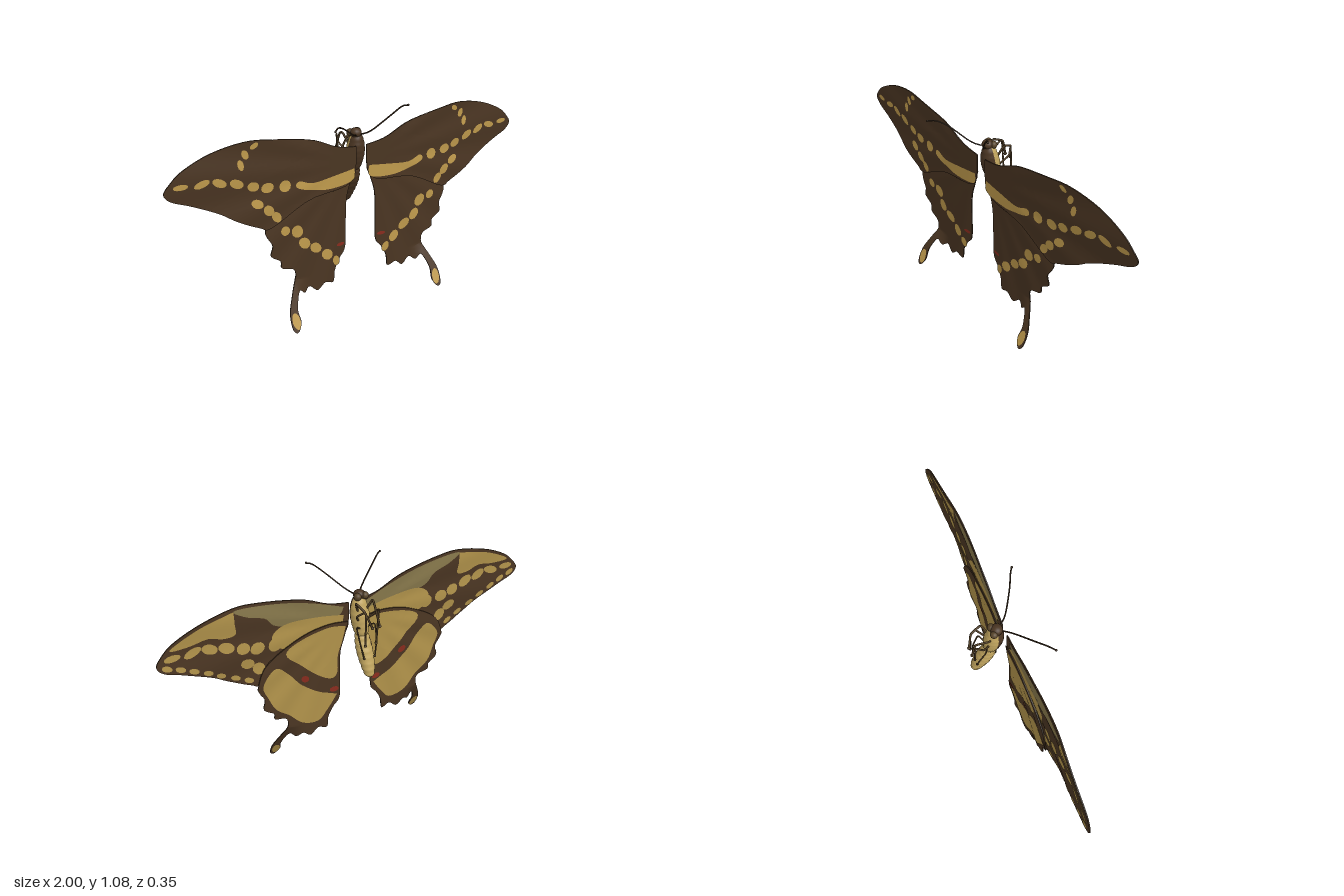
import * as THREE from 'three';
import { mergeVertices } from 'three/addons/utils/BufferGeometryUtils.js';

const mat = (name, color, side = THREE.FrontSide) => {
  const m = new THREE.MeshStandardMaterial({ color, side });
  m.name = name;
  return m;
};
const V = (x, y, z) => new THREE.Vector3(x, y, z);
const smooth = THREE.MathUtils.smoothstep;

// Closed outlines of the model's left wings, mirrored for the right
const FORE = [[.03, .88], [.14, .90], [.28, .96], [.49, 1.0], [.62, 1.01], [.78, .98], [.91, .925], [.97, .875], [1.0, .83],
  [.97, .79], [.89, .755], [.76, .69], [.68, .635], [.57, .575], [.505, .56], [.3, .66], [.06, .70]];
const HIND = [[.04, .78], [.06, .70], [.085, .61], [.09, .46], [.095, .34], [.13, .29], [.16, .23], [.17, .165], [.22, .178],
  [.265, .145], [.31, .18], [.345, .16], [.38, .185], [.413, .11], [.41, .05], [.437, .008], [.462, .025], [.46, .10],
  [.425, .18], [.39, .255], [.40, .305], [.46, .325], [.465, .365], [.515, .405], [.505, .46], [.53, .51], [.535, .555],
  [.48, .66], [.3, .76], [.15, .79]];

// Markings: painted panels, and spots as [x, y, rx, ry, tilt]
const BAND = [[.045, .77], [.15, .757], [.28, .745], [.355, .768], [.37, .74], [.30, .712], [.18, .692], [.05, .71]];
const FORE_SPOTS = [[.43, .76, .03, .03, 0], [.52, .77, .032, .026, 0], [.59, .79, .03, .024, .4], [.67, .82, .036, .022, .5],
  [.75, .84, .036, .02, .5], [.83, .85, .038, .017, -.3], [.925, .853, .034, .014, 0], [.575, .985, .022, .013, -.5],
  [.62, .95, .024, .016, 1.2], [.645, .905, .026, .015, 1.4], [.575, .70, .032, .022, .5], [.52, .655, .032, .024, .9],
  [.48, .612, .032, .022, 1]];
const HIND_SPOTS = [[.435, .525, .026, .024, 1], [.37, .505, .036, .03, 1], [.333, .433, .035, .027, .8],
  [.27, .39, .038, .026, .7], [.205, .335, .034, .028, .8], [.152, .285, .03, .02, 1.2], [.436, .06, .022, .04, -.1]];
const MARGIN_SPOTS = [[.955, .81], [.895, .785], [.835, .755], [.77, .72], [.71, .68], [.64, .64], [.575, .605]]
  .map(([x, y]) => [x, y, .026, .014, .5]);
const COSTA = [[.06, .865], [.28, .945], [.49, .987], [.62, .997], [.56, .95], [.47, .915], [.42, .86], [.3, .83], [.1, .82]];
const APEX = [[.62, .995], [.77, .967], [.89, .92], [.93, .89], [.84, .885], [.75, .895], [.68, .87], [.62, .875], [.62, .93]];
const FORE_BASE = [[.06, .82], [.2, .845], [.36, .855], [.44, .81], [.42, .74], [.3, .70], [.1, .72]];
const HIND_BASE = [[.055, .76], [.075, .68], [.1, .6], [.105, .5], [.14, .47], [.22, .52], [.3, .6], [.38, .69], [.3, .745], [.15, .775]];
const HIND_BAND = [[.11, .365], [.2, .405], [.3, .48], [.37, .57], [.44, .63], [.51, .55], [.485, .46], [.45, .385],
  [.38, .32], [.31, .25], [.22, .225], [.165, .28]];

// Gentle camber, vein ripples and tails swept forward
function wingZ(x, y) {
  const a = Math.abs(x), r = Math.hypot(a - .05, y - .8), th = Math.atan2(y - .8, a - .05);
  return .012 + .05 * a - .073 * a * a - .012 * x
    + .006 * r * smooth(r, .1, .3) * Math.sin(18 * th)
    + .5 * Math.max(0, .24 - y) * smooth(a, .3, .4);
}

function outline(pts) {
  const p = pts.map(([x, y]) => new THREE.Vector2(x, y));
  const s = new THREE.Shape();
  s.moveTo(p[0].x, p[0].y);
  s.splineThru([...p.slice(1), p[0].clone()]);
  const out = s.extractPoints(4).shape;
  if (out[0].distanceTo(out[out.length - 1]) < 1e-6) out.pop();
  return out;
}
function spotOutline([x, y, rx, ry, tilt]) {
  return new THREE.EllipseCurve(x, y, rx, ry, 0, Math.PI * 2, false, tilt).getPoints(12).slice(0, -1);
}

// Fills an outline with small triangles lying on the wing surface; face is +1 front, -1 back
function sheet(pts, mirror, face, offset) {
  const pos = [];
  const put = (p) => pos.push(p.x * mirror, p.y, wingZ(p.x * mirror, p.y) + offset);
  // Halve the longest edge until every edge is short
  const split = (a, b, c) => {
    const ab = a.distanceTo(b), longest = Math.max(ab, b.distanceTo(c), c.distanceTo(a));
    if (longest < .03) {
      [a, b, c].forEach(put);
    } else if (longest > ab) {
      split(b, c, a);
    } else {
      const h = a.clone().add(b).multiplyScalar(.5);
      split(a, h, c);
      split(h, b, c);
    }
  };
  for (const [i, j, k] of THREE.ShapeUtils.triangulateShape(pts, [])) {
    const a = pts[i], b = pts[j], c = pts[k];
    const area = (b.x - a.x) * (c.y - a.y) - (b.y - a.y) * (c.x - a.x);
    if (area * mirror * face > 0) split(a, b, c); else split(a, c, b);
  }
  const g = new THREE.BufferGeometry();
  g.setAttribute('position', new THREE.Float32BufferAttribute(pos, 3));
  const merged = mergeVertices(g, 1e-5);
  merged.computeVertexNormals();
  return merged;
}

// Thin strip closing the wing edge
function rim(pts, mirror, offset, half) {
  const pos = [], idx = [], n = pts.length;
  pts.forEach((p, i) => {
    const z = wingZ(p.x * mirror, p.y) + offset, a = 2 * i, b = 2 * ((i + 1) % n);
    pos.push(p.x * mirror, p.y, z + half, p.x * mirror, p.y, z - half);
    idx.push(a, a + 1, b, b, a + 1, b + 1);
  });
  const g = new THREE.BufferGeometry();
  g.setAttribute('position', new THREE.Float32BufferAttribute(pos, 3));
  g.setIndex(idx);
  g.computeVertexNormals();
  return g;
}

export function createModel() {
  const model = new THREE.Group();
  const brown = mat('dark brown', 0x4a3522), edge = mat('edge brown', 0x3a2a1a, THREE.DoubleSide);
  const gold = mat('gold', 0xbf9a4c), tan = mat('tan gold', 0xb0924a), olive = mat('olive', 0x85764a);
  const cream = mat('cream', 0xc0a45e), red = mat('red', 0x8a2c1e), legBrown = mat('leg brown', 0x57442a);
  const add = (parent, name, geo, material) => {
    const m = new THREE.Mesh(geo, material);
    m.name = name;
    parent.add(m);
    return m;
  };

  // Wings
  const HALF = .003, PAINT = .0025;
  function wing(name, pts, mirror, offset, marks) {
    const g = new THREE.Group(), shape = outline(pts);
    g.name = name;
    add(g, 'upperSurface', sheet(shape, mirror, 1, offset + HALF), brown);
    add(g, 'lowerSurface', sheet(shape, mirror, -1, offset - HALF), brown);
    add(g, 'wingEdge', rim(shape, mirror, offset, HALF), edge);
    for (const [label, face, material, shapes, lift = 1] of marks)
      for (const s of shapes)
        add(g, label, sheet(s, mirror, face, offset + face * (HALF + PAINT * lift)), material);
    model.add(g);
  }
  const bigger = ([x, y, rx, ry, t]) => spotOutline([x, y, rx * 1.15, ry * 1.25, t]);
  for (const [side, mirror] of [['left', 1], ['right', -1]]) {
    wing(side + 'Forewing', FORE, mirror, .005, [
      ['band', 1, gold, [outline(BAND)]],
      ['spot', 1, gold, FORE_SPOTS.map(spotOutline)],
      ['costalPanel', -1, olive, [outline(COSTA)]],
      ['apexPanel', -1, tan, [outline(APEX)]],
      ['basePanel', -1, tan, [outline(FORE_BASE)], 1.4],
      ['undersideSpot', -1, tan, [...FORE_SPOTS.slice(0, 7), ...FORE_SPOTS.slice(10)].map(bigger), 1.8],
      ['marginSpot', -1, tan, MARGIN_SPOTS.map(spotOutline)],
    ]);
    wing(side + 'Hindwing', HIND, mirror, -.005, [
      ['spot', 1, gold, HIND_SPOTS.map(spotOutline)],
      ['redSpot', 1, red, [spotOutline([.125, .37, .024, .01, 0])]],
      ['basePanel', -1, tan, [outline(HIND_BASE)]],
      ['outerBand', -1, tan, [outline(HIND_BAND)]],
      ['tailSpot', -1, tan, [spotOutline(HIND_SPOTS[6])]],
      ['redSpot', -1, red, [[.125, .40, .025, .016, 0], [.285, .515, .025, .018, .7]].map(spotOutline), 1.6],
    ]);
  }

  // Body: turned profiles bent along a spine, dark on the back and pale underneath
  const spine = new THREE.SplineCurve([[.5, -.155], [.57, -.13], [.65, -.092], [.73, -.06], [.85, -.036], [.95, -.026]]
    .map(([y, z]) => new THREE.Vector2(y, z))).getPoints(60);
  const spineZ = (y) => {
    const i = Math.max(1, spine.findIndex((p) => p.x >= y)), a = spine[i - 1], b = spine[i];
    return a.y + (b.y - a.y) * (y - a.x) / (b.x - a.x);
  };
  function bodyPart(name, profile, ridges, darkHalf) {
    const pts = new THREE.SplineCurve(profile.map(([r, y]) => new THREE.Vector2(r, y))).getPoints(44);
    pts.forEach((p) => { p.x = Math.max(.0005, p.x * (1 + ridges * Math.sin(p.y * 210))); });
    for (const [label, material, start, length] of [['Top', brown, -darkHalf, 2 * darkHalf],
      ['Underside', cream, darkHalf, 2 * (Math.PI - darkHalf)]]) {
      const g = new THREE.LatheGeometry(pts, 16, start, length), p = g.attributes.position;
      for (let i = 0; i < p.count; i++) p.setZ(i, p.getZ(i) + spineZ(p.getY(i)));
      g.computeVertexNormals();
      add(model, name + label, g, material);
    }
  }
  bodyPart('abdomen', [[.001, .53], [.022, .54], [.034, .58], [.042, .65], [.038, .71], [.028, .75], [.012, .775]], .04, .75);
  bodyPart('thorax', [[.001, .715], [.03, .735], [.043, .78], [.048, .84], [.04, .89], [.024, .925], [.001, .935]], .015, 1.5);

  // Head with eyes
  const ball = (name, r, p, material, sy = 1) => {
    const m = add(model, name, new THREE.SphereGeometry(r, 16, 12), material);
    m.position.copy(p);
    m.scale.y = sy;
  };
  ball('head', .03, V(-.005, .935, -.025), brown, .85);
  for (const s of [1, -1]) ball('eye', .019, V(-.005 + s * .02, .935, -.045), legBrown);

  // Antennae and legs
  const tube = (name, pts, r, material, tension) => {
    const curve = new THREE.CatmullRomCurve3(pts.map((p) => V(...p)), false, 'catmullrom', tension);
    add(model, name, new THREE.TubeGeometry(curve, 28, r, 6), material);
    ball(name + 'Tip', r * 1.5, V(...pts[pts.length - 1]), material);
  };
  tube('leftAntenna', [[.01, .93, 0], [.045, .955, .04], [.12, 1.03, .09], [.17, 1.075, .115], [.197, 1.083, .132]], .0038, edge, .5);
  tube('rightAntenna', [[-.02, .93, 0], [-.06, .95, .04], [-.15, 1.012, .10], [-.20, 1.034, .14], [-.232, 1.03, .17]], .0038, edge, .5);
  for (const s of [1, -1]) {
    tube('frontLeg', [[s * .02, .86, -.06], [s * .045, .925, -.085], [s * .03, .905, -.14], [s * .02 - .02, .82, -.165]], .0055, legBrown, .15);
    tube('middleLeg', [[s * .025, .82, -.07], [s * .055, .87, -.11], [s * .035 - .01, .90, -.145], [s * .03, .72, -.15]], .005, legBrown, .15);
    tube('hindLeg', [[s * .02, .78, -.08], [s * .05, .80, -.10], [s * .045, .72, -.13], [s * .03, .64, -.14]], .004, legBrown, .15);
  }
  return model;
}
